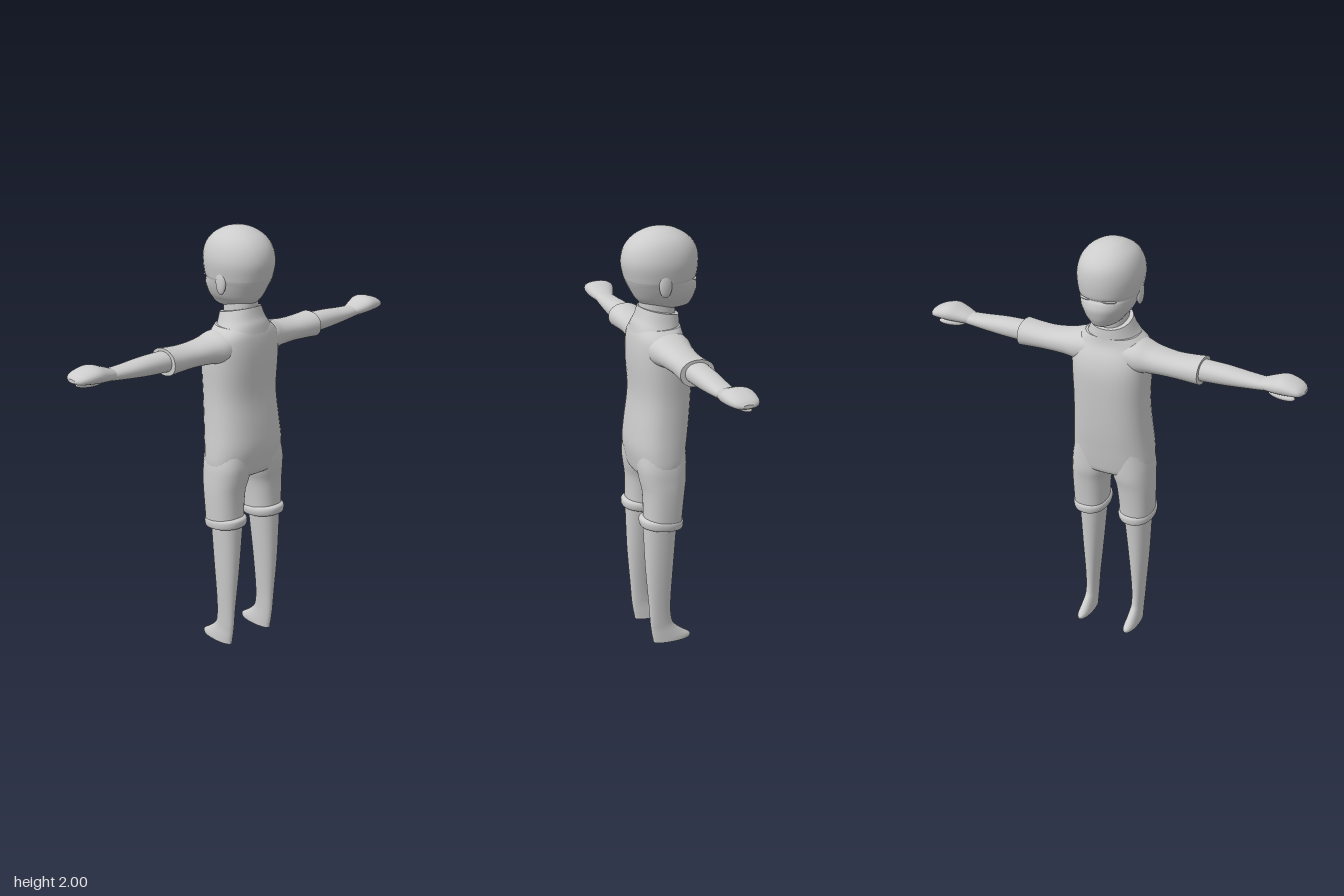
import * as THREE from 'three';

const SEG = 32, SUB = 4;

// Catmull-Rom refinement of a list of cross-sections
function refine(rows) {
  const out = [], n = rows.length;
  for (let i = 0; i < n - 1; i++) {
    const [p0, p1, p2, p3] = [rows[Math.max(i - 1, 0)], rows[i], rows[i + 1], rows[Math.min(i + 2, n - 1)]];
    for (let s = 0; s < SUB; s++) {
      const u = s / SUB;
      out.push(p1.map((b, k) => 0.5 * (2 * b + (p2[k] - p0[k]) * u
        + (2 * p0[k] - 5 * b + 4 * p2[k] - p3[k]) * u * u
        + (3 * b - p0[k] - 3 * p2[k] + p3[k]) * u * u * u)));
    }
  }
  out.push(rows[n - 1]);
  return out;
}

// Closed body from sections [t, aMin, aMax, zMin, zMax], ascending in t.
// Axis 'y': a is x. Axis 'x': a is y. tilt raises each section toward +z.
function loft(sections, { axis = 'y', mirror = false, power = 2.2, tilt = 0 } = {}) {
  const rows = refine(sections), pos = [], idx = [];
  const flip = (axis === 'x') !== mirror;
  const add = (t, a, b) => {
    const p = axis === 'y' ? [a, t, b] : [t, a, b];
    if (mirror) p[0] = -p[0];
    pos.push(...p);
  };
  const tri = (a, b, c) => (flip ? idx.push(a, c, b) : idx.push(a, b, c));
  const ring = ([t, a0, a1, z0, z1]) => {
    for (let j = 0; j < SEG; j++) {
      const th = (j / SEG) * Math.PI * 2, c = Math.cos(th), s = Math.sin(th);
      const a = (a0 + a1) / 2 + (a1 - a0) / 2 * Math.sign(c) * Math.abs(c) ** (2 / power);
      const z = (z0 + z1) / 2 + (z1 - z0) / 2 * Math.sign(s) * Math.abs(s) ** (2 / power);
      add(t + tilt * z, a, z);
    }
  };
  rows.forEach(ring);
  for (let i = 0; i < rows.length - 1; i++) {
    for (let j = 0; j < SEG; j++) {
      const k = (j + 1) % SEG, p = i * SEG, q = p + SEG;
      tri(p + j, q + j, p + k);
      tri(p + k, q + j, q + k);
    }
  }
  // Flat end caps with their own vertices
  [rows[0], rows[rows.length - 1]].forEach((r, end) => {
    const base = pos.length / 3, z = (r[3] + r[4]) / 2;
    ring(r);
    add(r[0] + tilt * z, (r[1] + r[2]) / 2, z);
    for (let j = 0; j < SEG; j++) {
      const k = (j + 1) % SEG;
      if (end) tri(base + SEG, base + k, base + j);
      else tri(base + SEG, base + j, base + k);
    }
  });
  const g = new THREE.BufferGeometry();
  g.setAttribute('position', new THREE.Float32BufferAttribute(pos, 3));
  g.setIndex(idx);
  g.computeVertexNormals();
  return g;
}

// Section symmetric about x = 0
const sym = (y, w, z0, z1) => [y, -w, w, z0, z1];

export function createModel() {
  const model = new THREE.Group();
  const grey = new THREE.MeshStandardMaterial({ color: 0xcccccc });
  grey.name = 'plain grey';
  const part = (name, geometry) => {
    const m = new THREE.Mesh(geometry, grey);
    m.name = name;
    model.add(m);
    return m;
  };
  const ball = (name, [x, y, z], [rx, ry, rz], turn = 0) => {
    const m = part(name, new THREE.SphereGeometry(1, 20, 14));
    m.position.set(x, y, z);
    m.scale.set(rx, ry, rz);
    m.rotation.y = turn;
  };

  // Head with brow, muzzle and rounded skull; the face looks toward -z
  part('head', loft([
    sym(1.632, 0.03, -0.11, 0.03), sym(1.642, 0.06, -0.135, 0.075), sym(1.665, 0.08, -0.15, 0.1),
    sym(1.69, 0.1, -0.16, 0.122), sym(1.725, 0.117, -0.168, 0.142), sym(1.755, 0.127, -0.162, 0.157),
    sym(1.768, 0.131, -0.154, 0.162), sym(1.785, 0.136, -0.165, 0.168), sym(1.85, 0.145, -0.171, 0.18),
    sym(1.91, 0.134, -0.161, 0.166), sym(1.955, 0.108, -0.125, 0.13), sym(1.985, 0.066, -0.075, 0.078),
    sym(1.997, 0.03, -0.03, 0.035), sym(2.0, 0.003, 0, 0.006)], { power: 2.1 }));
  part('neck', loft([sym(1.54, 0.075, -0.068, 0.1), sym(1.6, 0.07, -0.065, 0.098), sym(1.68, 0.068, -0.07, 0.1)]));

  // Torso, from crotch to the slanted collar
  part('torso', loft([
    sym(0.855, 0.11, -0.04, 0.1), sym(0.868, 0.18, -0.075, 0.138), sym(0.92, 0.198, -0.088, 0.153),
    sym(1.0, 0.195, -0.1, 0.164), sym(1.1, 0.186, -0.113, 0.156), sym(1.24, 0.179, -0.124, 0.14),
    sym(1.38, 0.184, -0.129, 0.147), sym(1.46, 0.183, -0.115, 0.147), sym(1.52, 0.168, -0.088, 0.14),
    sym(1.56, 0.125, -0.081, 0.128)], { power: 2.4 }));
  part('collar', loft([
    sym(1.5, 0.155, -0.086, 0.138), sym(1.54, 0.128, -0.083, 0.13),
    sym(1.575, 0.108, -0.082, 0.116), sym(1.622, 0.09, -0.08, 0.104)], { tilt: 0.24 }));

  for (const mirror of [false, true]) {
    const side = mirror ? 'right' : 'left', s = mirror ? -1 : 1;

    // Trouser leg and rolled cuff
    part(side + 'TrouserLeg', loft([
      [0.62, 0.04, 0.2, -0.052, 0.128], [0.7, 0.036, 0.203, -0.058, 0.126], [0.79, 0.026, 0.205, -0.068, 0.129],
      [0.85, 0.008, 0.203, -0.078, 0.14], [0.92, 0.0, 0.198, -0.08, 0.148], [1.0, 0.01, 0.18, -0.08, 0.14]],
      { mirror, power: 2.3 }));
    part(side + 'TrouserCuff', loft([
      [0.603, 0.046, 0.19, -0.045, 0.13], [0.61, 0.036, 0.202, -0.058, 0.144], [0.63, 0.031, 0.206, -0.062, 0.148],
      [0.645, 0.034, 0.204, -0.06, 0.145], [0.653, 0.042, 0.196, -0.05, 0.132]], { mirror, tilt: 0.12 }));

    // Tapered bare leg ending in a narrow foot
    part(side + 'LegAndFoot', loft([
      [0, 0.096, 0.154, -0.102, 0.084], [0.018, 0.096, 0.154, -0.104, 0.087], [0.045, 0.098, 0.152, -0.066, 0.092],
      [0.075, 0.1, 0.15, -0.03, 0.096], [0.11, 0.1, 0.151, -0.009, 0.1], [0.2, 0.095, 0.156, -0.002, 0.106],
      [0.4, 0.076, 0.17, -0.014, 0.121], [0.64, 0.052, 0.182, -0.033, 0.13]], { mirror }));

    // Sleeve, forearm and mitten-like hand
    part(side + 'Sleeve', loft([
      [0.09, 1.4, 1.55, -0.09, 0.115], [0.15, 1.4, 1.545, -0.088, 0.11], [0.21, 1.408, 1.528, -0.077, 0.093],
      [0.3, 1.411, 1.517, -0.071, 0.081], [0.38, 1.408, 1.519, -0.071, 0.082], [0.445, 1.404, 1.525, -0.073, 0.086]],
      { axis: 'x', mirror }));
    part(side + 'Forearm', loft([
      [0.42, 1.42, 1.513, -0.052, 0.064], [0.55, 1.426, 1.51, -0.05, 0.06],
      [0.66, 1.437, 1.5, -0.046, 0.053], [0.75, 1.447, 1.495, -0.042, 0.045]], { axis: 'x', mirror }));
    part(side + 'Hand', loft([
      [0.71, 1.448, 1.49, -0.035, 0.04], [0.77, 1.45, 1.513, -0.058, 0.06], [0.82, 1.453, 1.529, -0.074, 0.068],
      [0.87, 1.458, 1.52, -0.074, 0.06], [0.905, 1.462, 1.505, -0.064, 0.042], [0.922, 1.472, 1.488, -0.035, 0.015]],
      { axis: 'x', mirror }));
    ball(side + 'Thumb', [s * 0.82, 1.446, -0.025], [0.065, 0.017, 0.024], s * 0.2);

    // Low ears and closed eyelids
    ball(side + 'Ear', [s * 0.128, 1.765, 0.025], [0.014, 0.055, 0.03]);
    ball(side + 'Eyelid', [s * 0.058, 1.768, -0.138], [0.032, 0.005, 0.012], s * -0.35);
  }
  return model;
}
